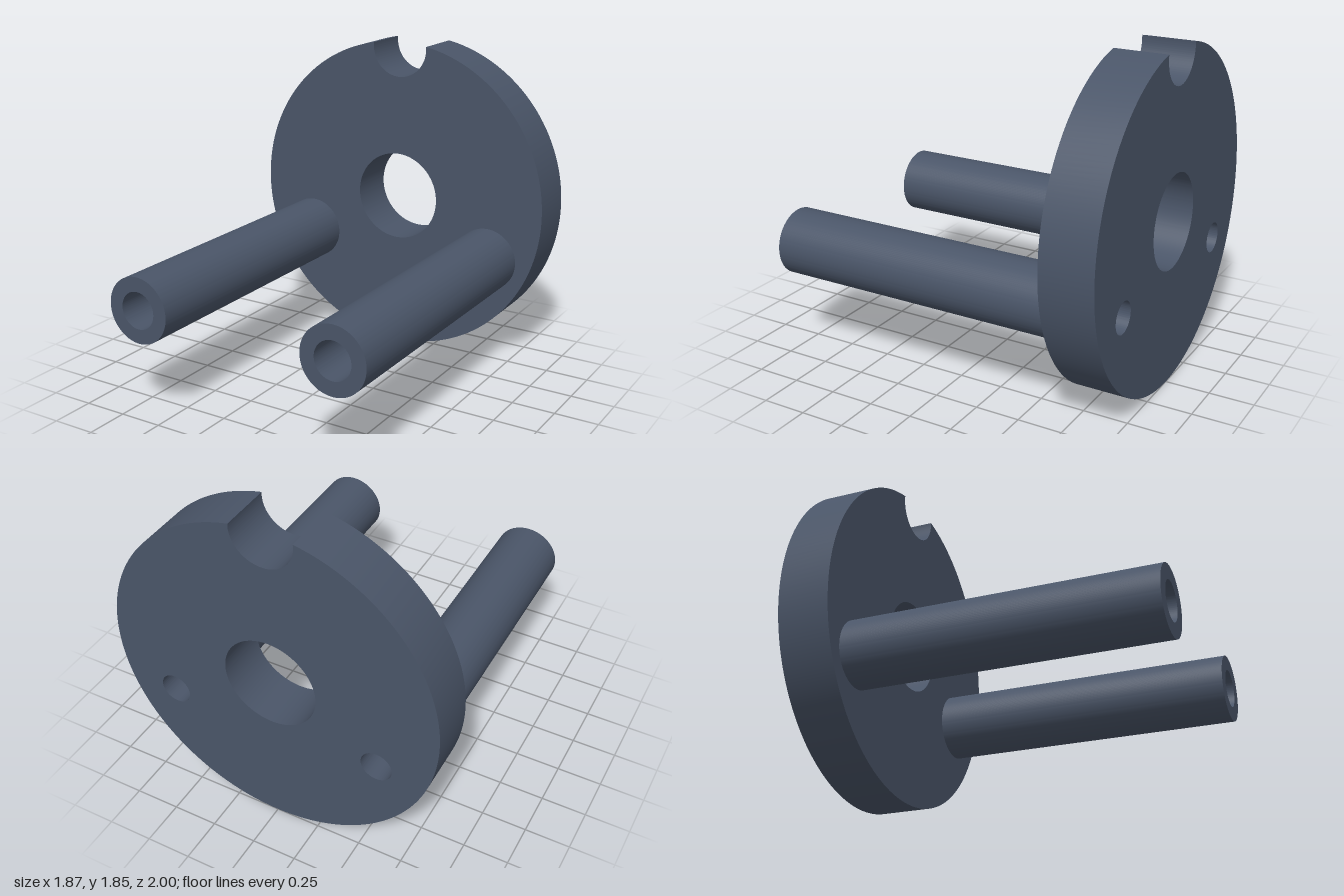
import * as THREE from 'three';
import { toCreasedNormals } from 'three/addons/utils/BufferGeometryUtils.js';

const R = 0.935;                       // plate radius and centre height
const BACK = -1, FACE = -0.705, TIP = 1;
const POST = { x: 0.6, y: 0.637, radius: 0.187, bore: 0.105, through: 0.087 };

function circleHole(x, y, r) {
  return new THREE.Path().absarc(x, y, r, 0, Math.PI * 2, true);
}

// Extrude a shape between two z positions, smooth round the curves
function extrude(shape, z0, z1, curveSegments) {
  const geo = new THREE.ExtrudeGeometry(shape, { depth: z1 - z0, bevelEnabled: false, curveSegments });
  geo.translate(0, 0, z0);
  return toCreasedNormals(geo, 0.6);
}

// Disc outline with a round notch cut into the top edge
function plateShape() {
  const notchY = 1.837, notchR = 0.174, d = notchY - R;
  const cy = (d * d + R * R - notchR * notchR) / (2 * d);
  const cx = Math.sqrt(R * R - cy * cy);
  const rim = Math.atan2(cy, cx), lip = Math.atan2(cy - d, cx);
  const shape = new THREE.Shape();
  shape.absarc(0, R, R, Math.PI - rim, Math.PI * 2 + rim, false);
  shape.absarc(0, notchY, notchR, lip, Math.PI - lip, true);
  shape.holes.push(circleHole(0, R, 0.263));
  for (const s of [-1, 1]) shape.holes.push(circleHole(s * POST.x, POST.y, POST.through));
  return shape;
}

export function createModel() {
  const model = new THREE.Group();
  model.name = 'flangeWithPosts';
  const slate = new THREE.MeshStandardMaterial({ color: 0x4a5568 });
  slate.name = 'slate';

  // Notched flange plate
  const plate = new THREE.Mesh(extrude(plateShape(), BACK, FACE, 96), slate);
  plate.name = 'flangePlate';
  model.add(plate);

  // Two hollow posts, with a bore wider than the plate holes
  for (const [name, s] of [['rightPost', -1], ['leftPost', 1]]) {
    const ring = new THREE.Shape().absarc(s * POST.x, POST.y, POST.radius, 0, Math.PI * 2, false);
    ring.holes.push(circleHole(s * POST.x, POST.y, POST.bore));
    const post = new THREE.Mesh(extrude(ring, FACE, TIP, 64), slate);
    post.name = name;
    model.add(post);
  }
  return model;
}
